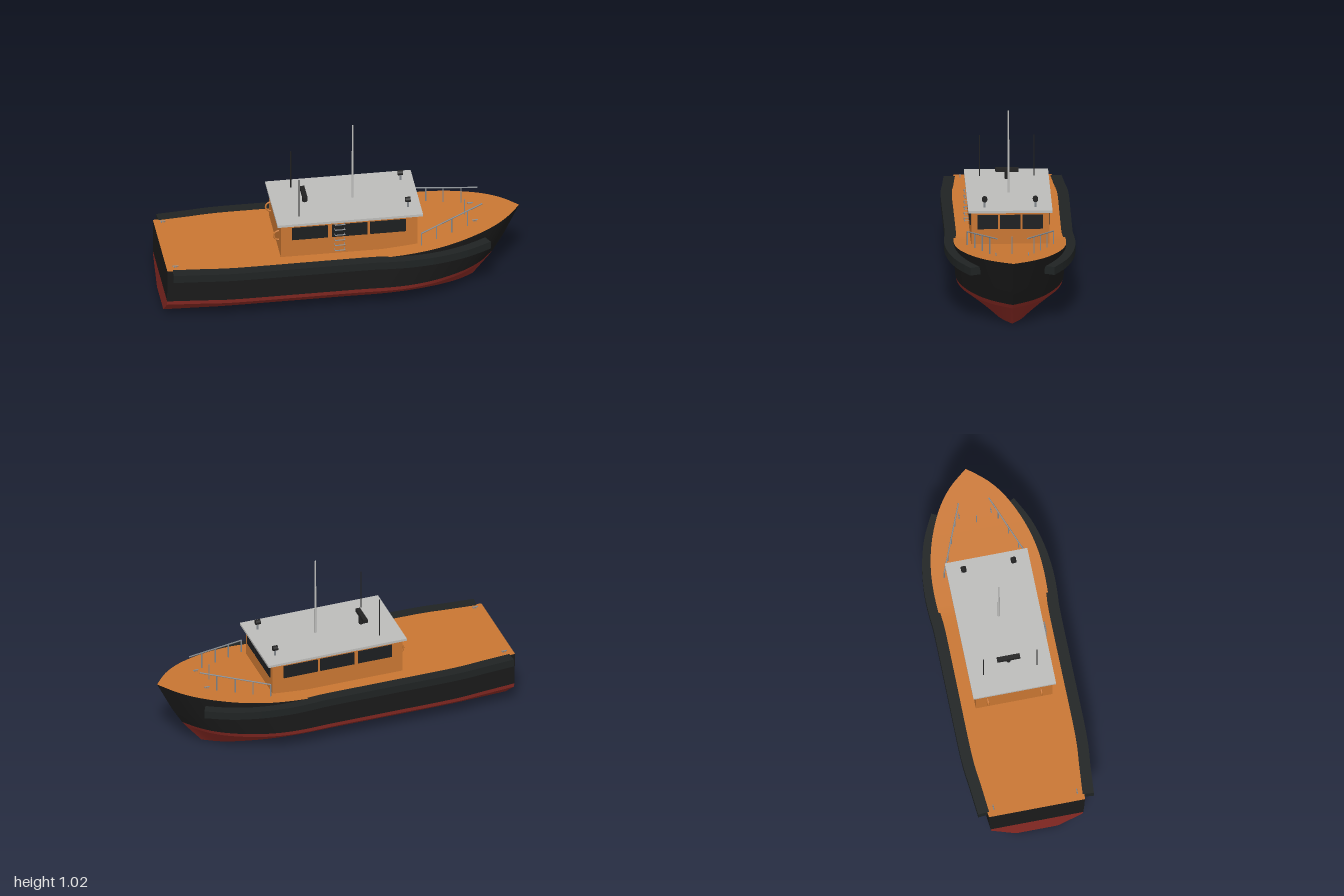
import * as THREE from 'three';

const paint = (name, color) => {
  const m = new THREE.MeshStandardMaterial({ color });
  m.name = name;
  return m;
};

export function createModel() {
  const boat = new THREE.Group();
  boat.name = 'workBoat';
  const orange = paint('deckOrange', 0xc87632);
  const black = paint('hullBlack', 0x1a1a1a);
  const red = paint('bottomRed', 0x8a2a24);
  const rubber = paint('fenderRubber', 0x1f2323);
  const glass = paint('darkGlass', 0x1c1e20);
  const roofGrey = paint('roofGrey', 0xbcbcba);
  const steel = paint('steel', 0x858a8f);
  const fitting = paint('fittingBlack', 0x222222);

  const add = (name, geo, mat, x = 0, y = 0, z = 0) => {
    const m = new THREE.Mesh(geo, mat);
    m.name = name;
    m.position.set(x, y, z);
    boat.add(m);
    return m;
  };
  const box = (name, mat, w, h, d, x, y, z) => add(name, new THREE.BoxGeometry(w, h, d), mat, x, y, z);
  // round bar between two points
  const bar = (name, mat, a, b, r, r2 = r) => {
    const p = new THREE.Vector3(...a), q = new THREE.Vector3(...b);
    const dir = q.clone().sub(p);
    const m = add(name, new THREE.CylinderGeometry(r2, r, dir.length(), 10), mat);
    m.position.copy(p).add(q).multiplyScalar(0.5);
    m.quaternion.setFromUnitVectors(new THREE.Vector3(0, 1, 0), dir.normalize());
    return m;
  };
  // skin over rows of points, smooth within one call
  const loft = (name, rows, mat) => {
    const n = rows[0].length, index = [];
    for (let r = 0; r < rows.length - 1; r++) {
      for (let i = 0; i < n - 1; i++) {
        const a = r * n + i, b = a + n;
        index.push(a, a + 1, b + 1, a, b + 1, b);
      }
    }
    const g = new THREE.BufferGeometry();
    g.setAttribute('position', new THREE.Float32BufferAttribute(rows.flat(2), 3));
    g.setIndex(index);
    g.computeVertexNormals();
    return add(name, g, mat);
  };

  // Hull: one plan outline, scaled for each level
  const plan = new THREE.SplineCurve([
    [-1, 0.27], [-0.8, 0.288], [-0.6, 0.305], [-0.2, 0.306], [0.15, 0.306], [0.35, 0.31],
    [0.5, 0.297], [0.65, 0.258], [0.8, 0.19], [0.91, 0.108], [1, 0],
  ].map(p => new THREE.Vector2(...p))).getPoints(60);
  const deckY = x => 0.34 + 0.08 * Math.pow(Math.max(0, (x - 0.2) / 0.8), 1.1);
  const level = (y, bow, half) => plan.map(p => {
    const x = -1 + (p.x + 1) / 2 * (bow + 1);
    return [x, y ?? deckY(x), Math.max(0, p.y) * half / 0.31];
  });
  const mirror = row => row.map(([x, y, z]) => [x, y, -z]);
  const keel = level(0, 0.74, 0.135), chine = level(0.115, 0.835, 0.293);
  const water = level(0.14, 0.853, 0.299), mid = level(0.24, 0.912, 0.305), sheer = level(null, 1, 0.31);
  const bands = [
    ['bottomPanel', [keel, chine], red],
    ['waterlineBand', [chine, water], red],
    ['topside', [water, mid, sheer], black],
  ];
  for (const [name, rows, mat] of bands) {
    loft(name + 'Left', rows, mat);
    loft(name + 'Right', [...rows].reverse().map(mirror), mat);
    loft(name + 'Transom', rows.map(r => [mirror(r)[0], r[0]]), mat);
  }
  loft('keelFlat', [mirror(keel), keel], red);
  loft('deck', [sheer, mirror(sheer)], orange);

  // Rubber fenders following the sides
  const inner = new THREE.SplineCurve([
    [-0.97, 0.275], [-0.8, 0.289], [-0.62, 0.303], [-0.2, 0.303], [0.12, 0.303], [0.22, 0.309],
    [0.35, 0.311], [0.5, 0.294], [0.65, 0.253], [0.785, 0.187],
  ].map(p => new THREE.Vector2(...p)));
  const edge = [], outer = [];
  for (let i = 0; i <= 36; i++) {
    const p = inner.getPoint(i / 36), t = inner.getTangent(i / 36);
    edge.push(new THREE.Vector2(p.x + t.y * 0.012, p.y - t.x * 0.012));
    outer.push(new THREE.Vector2(p.x - t.y * 0.05, p.y + t.x * 0.05));
  }
  for (const s of [1, -1]) {
    const pts = [...edge, ...outer.reverse()].map(p => new THREE.Vector2(p.x, p.y * s));
    outer.reverse();
    const g = new THREE.ExtrudeGeometry(new THREE.Shape(pts), { depth: 0.045, bevelEnabled: false });
    g.rotateX(Math.PI / 2);
    add('fender', g, rubber, 0, 0.342, 0);
  }

  // Wheelhouse and roof
  box('wheelhouse', orange, 0.76, 0.215, 0.43, 0.02, 0.4375, 0);
  box('roof', roofGrey, 0.81, 0.014, 0.464, 0.025, 0.549, 0);
  for (const s of [1, -1]) {
    for (const x of [-0.198, 0.023, 0.237]) box('sideWindow', glass, 0.198, 0.077, 0.008, x, 0.486, s * 0.217);
  }
  for (const z of [-0.124, 0, 0.124]) box('frontWindow', glass, 0.008, 0.08, 0.114, 0.402, 0.484, z);

  // Ladder rungs on one side
  for (let i = 0; i < 6; i++) {
    const y = 0.37 + i * 0.033;
    bar('ladderRung', steel, [-0.063, y, 0.24], [-0.005, y, 0.24], 0.003);
    for (const x of [-0.061, -0.007]) bar('rungBracket', steel, [x, y, 0.213], [x, y, 0.24], 0.002);
  }

  // Mast, radar and bow staff
  bar('mastLower', roofGrey, [0.072, 0.55, 0], [0.072, 0.855, 0], 0.0065, 0.0055);
  bar('mastUpper', roofGrey, [0.072, 0.855, 0], [0.072, 1.025, 0], 0.0045, 0.004);
  bar('radarPedestal', fitting, [-0.196, 0.55, 0], [-0.196, 0.6, 0], 0.013);
  box('radarScanner', fitting, 0.025, 0.021, 0.128, -0.2, 0.605, 0);
  bar('bowStaff', steel, [0.695, 0.38, 0], [0.695, 0.485, 0], 0.003);

  // Paired fittings
  for (const s of [1, -1]) {
    bar('antenna', fitting, [-0.25, 0.55, s * 0.15], [-0.25, 0.79, s * 0.15], 0.0032);
    bar('searchlightStand', steel, [0.36, 0.55, s * 0.14], [0.36, 0.595, s * 0.14], 0.006);
    bar('searchlight', fitting, [0.345, 0.602, s * 0.14], [0.373, 0.602, s * 0.14], 0.015);
    add('lifeRing', new THREE.TorusGeometry(0.028, 0.005, 8, 28), orange, -0.362, 0.443, s * 0.15);
    // bow rail
    const rail = t => [0.42 + 0.36 * t, 0.435 + 0.065 * t, s * (0.237 - 0.152 * t)];
    bar('bowRail', steel, rail(0), rail(1), 0.004);
    for (const t of [0, 0.25, 0.5, 0.76]) {
      const [x, y, z] = rail(t);
      bar('railPost', steel, [x, deckY(x) - 0.01, z], [x, y, z], 0.0035);
    }
    // cleats
    for (const [x, z] of [[-0.95, 0.235], [0.74, 0.09]]) {
      const y = deckY(x) + 0.01;
      bar('cleat', steel, [x - 0.016, y, s * z], [x + 0.016, y, s * z], 0.003);
      for (const d of [-0.006, 0.006]) bar('cleatFoot', steel, [x + d, y - 0.014, s * z], [x + d, y, s * z], 0.003);
    }
  }
  return boat;
}
